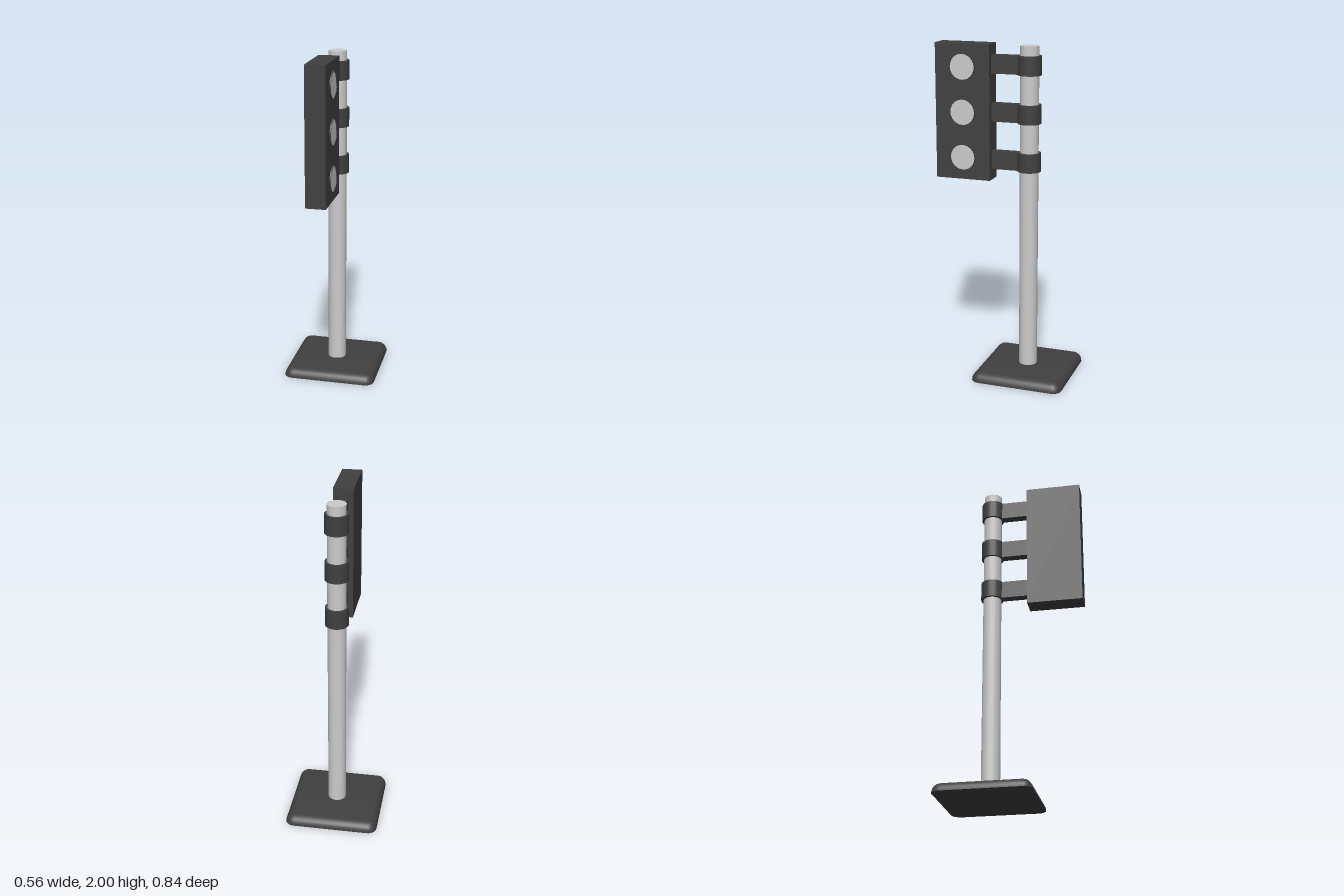
import * as THREE from 'three';
import { RoundedBoxGeometry } from 'three/addons/geometries/RoundedBoxGeometry.js';
import { toCreasedNormals } from 'three/addons/utils/BufferGeometryUtils.js';

const POLE_Z = -0.14;
const LAMP_Z = 0.252;

export function createModel() {
  const model = new THREE.Group();
  model.name = 'trafficLight';
  const grey = new THREE.MeshStandardMaterial({ color: 0xcccccc });
  const dark = new THREE.MeshStandardMaterial({ color: 0x404040 });

  const add = (name, geometry, material, x, y, z) => {
    const mesh = new THREE.Mesh(geometry, material);
    mesh.name = name;
    mesh.position.set(x, y, z);
    model.add(mesh);
    return mesh;
  };

  // Base: rounded slab with its lower half flattened onto the ground
  const slab = new RoundedBoxGeometry(0.56, 0.11, 0.56, 4, 0.055);
  const pos = slab.attributes.position;
  for (let i = 0; i < pos.count; i++) pos.setY(i, Math.max(0, pos.getY(i)));
  add('base', toCreasedNormals(slab, 0.6), dark, 0, 0, POLE_Z);

  // Pole
  add('pole', new THREE.CylinderGeometry(0.055, 0.055, 1.955, 20), grey, 0, 1.0175, POLE_Z);

  // Signal housing
  add('housing', new THREE.BoxGeometry(0.118, 0.8, 0.335), dark, 0, 1.6, LAMP_Z);

  // Clamps: a collar round the pole and an arm to the housing
  for (const y of [1.883, 1.603, 1.32]) {
    add('collar', new THREE.CylinderGeometry(0.069, 0.069, 0.112, 20), dark, 0, y, POLE_Z);
    add('arm', new THREE.BoxGeometry(0.053, 0.108, 0.19), dark, 0, y, -0.005);
  }

  // Lamps on the left face: thin rim with a pale lens set just inside
  const rimProfile = [
    [0.078, -0.005], [0.078, 0.009], [0.075, 0.009], [0.075, -0.005],
  ].map(([r, h]) => new THREE.Vector2(r, h));
  const rim = toCreasedNormals(new THREE.LatheGeometry(rimProfile, 24), 0.6);
  const rimMaterial = dark.clone();
  rimMaterial.side = THREE.DoubleSide;
  for (const y of [1.865, 1.6, 1.332]) {
    add('lampRim', rim, rimMaterial, 0.058, y, LAMP_Z).rotation.z = -Math.PI / 2;
    add('lampLens', new THREE.CircleGeometry(0.076, 24), grey, 0.062, y, LAMP_Z).rotation.y = Math.PI / 2;
  }

  return model;
}
